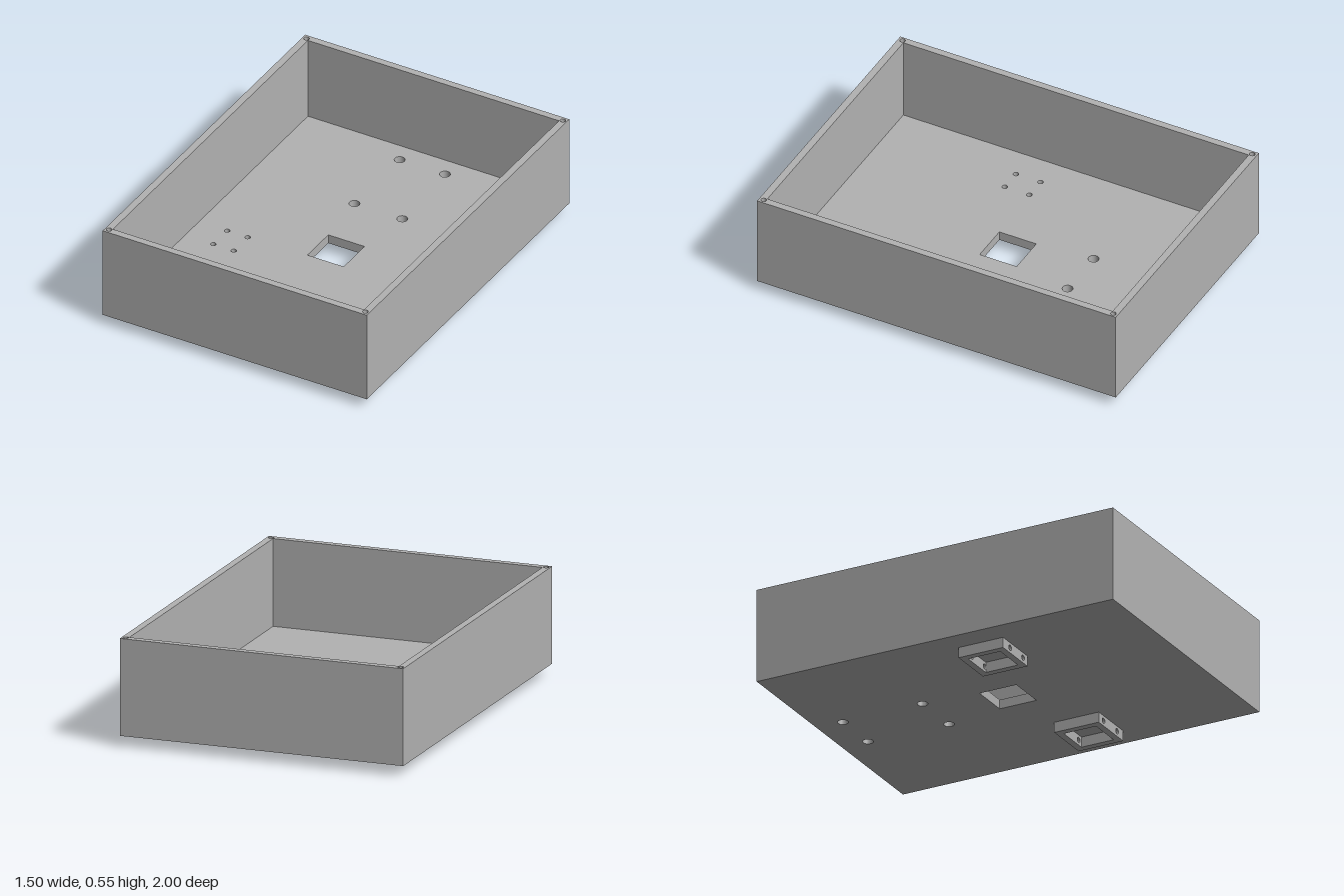
import * as THREE from 'three';

const grey = new THREE.MeshStandardMaterial({ color: 0xb2b2b2 });
grey.name = 'grey plastic';

const HALF_W = 0.75, HALF_D = 1, WALL = 0.037;
const BASE = 0.055, FLOOR_TOP = 0.104, TOP = 0.553;

// Rectangle outline given by its limits
function rect(x0, y0, x1, y1, Type = THREE.Path) {
  const p = new Type();
  p.moveTo(x0, y0);
  p.lineTo(x1, y0);
  p.lineTo(x1, y1);
  p.lineTo(x0, y1);
  p.closePath();
  return p;
}

function circle(x, y, r) {
  const p = new THREE.Path();
  p.absarc(x, y, r, 0, Math.PI * 2, true);
  return p;
}

function extrude(shape, depth) {
  return new THREE.ExtrudeGeometry(shape, { depth, bevelEnabled: false, curveSegments: 16 });
}

// Horizontal slab between two heights; plan coordinates are (x, -z)
function slab(name, y0, y1, holes) {
  const shape = rect(-HALF_W, -HALF_D, HALF_W, HALF_D, THREE.Shape);
  shape.holes.push(...holes);
  const mesh = new THREE.Mesh(extrude(shape, y1 - y0).rotateX(-Math.PI / 2), grey);
  mesh.position.y = y0;
  mesh.name = name;
  return mesh;
}

// Square mounting frame under the floor, with bolt holes through front and back
function mountFrame(name, cx, cz, holeXs) {
  const group = new THREE.Group();
  group.name = name;
  const half = 0.125, t = 0.035;
  for (const side of [-1, 1]) {
    const shape = rect(cx - half, 0, cx + half, BASE, THREE.Shape);
    for (const x of holeXs) shape.holes.push(circle(x, 0.028, 0.014));
    const plate = new THREE.Mesh(extrude(shape, t), grey);
    plate.position.z = side > 0 ? cz + half - t : cz - half;
    plate.name = side > 0 ? 'frontFrameWall' : 'backFrameWall';
    group.add(plate);

    const bar = new THREE.Mesh(new THREE.BoxGeometry(t, BASE, 2 * (half - t)), grey);
    bar.position.set(cx + side * (half - t / 2), BASE / 2, cz);
    bar.name = side > 0 ? 'leftFrameWall' : 'rightFrameWall';
    group.add(bar);
  }
  return group;
}

export function createModel() {
  const model = new THREE.Group();
  model.name = 'openEnclosure';

  // Openings right through the floor
  const through = () => [
    rect(-0.103, -0.103, 0.103, 0.103),
    ...[[-0.13, -0.855], [0.127, -0.855], [-0.13, -0.408], [0.142, -0.408]]
      .map(([x, z]) => circle(x, -z, 0.027)),
  ];

  // Blind screw holes above the mounting frames
  const screws = [];
  for (const side of [-1, 1])
    for (const x of [0.437, 0.553])
      for (const z of [0.113, 0.25]) screws.push(circle(side * x, -z, 0.014));

  model.add(slab('floorLower', BASE, 0.075, through()));
  model.add(slab('floorUpper', 0.075, FLOOR_TOP, [...through(), ...screws]));

  // Surrounding wall, with blind lid-screw holes in the corners of its rim
  const cavity = () => rect(-HALF_W + WALL, -HALF_D + WALL, HALF_W - WALL, HALF_D - WALL);
  const corners = [];
  for (const sx of [-1, 1])
    for (const sz of [-1, 1]) corners.push(circle(sx * 0.728, sz * 0.975, 0.014));
  model.add(slab('wallLower', FLOOR_TOP, 0.4, [cavity()]));
  model.add(slab('wallUpper', 0.4, TOP, [cavity(), ...corners]));

  model.add(mountFrame('leftMountFrame', 0.495, 0.182, [0.42, 0.558]));
  model.add(mountFrame('rightMountFrame', -0.495, 0.187, [-0.547, -0.415]));

  return model;
}
